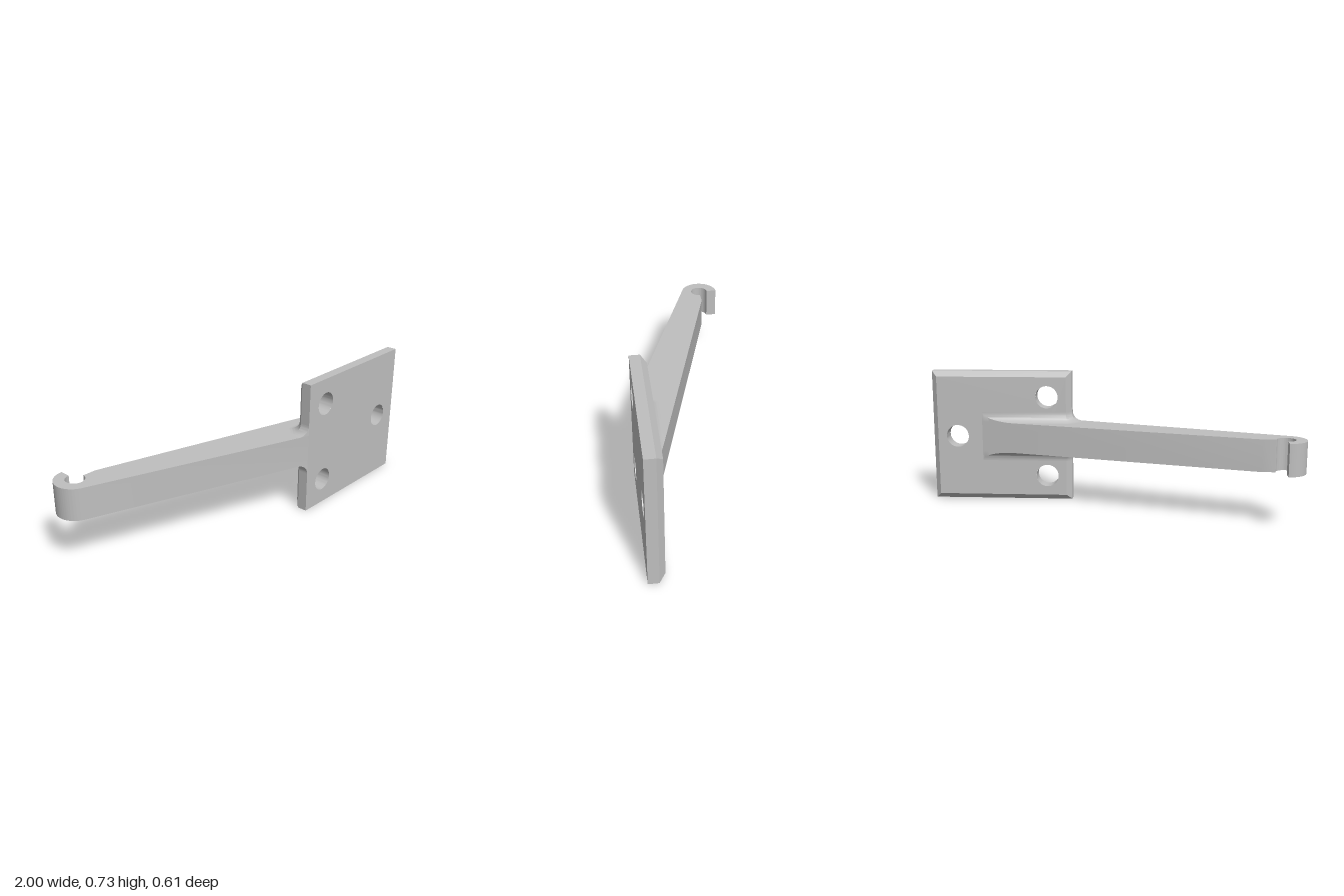
import * as THREE from 'three';
import { toCreasedNormals } from 'three/addons/utils/BufferGeometryUtils.js';

const MID = 0.3635;                        // height of the plane of symmetry
const L = 0.22, R = 1, FRONT = 0.304, BACK = 0.22, CH = 0.03, HALF = MID; // plate
const ARM = 0.0835, BLEND = 0.054;         // arm half height, fillet radius
const HX = -0.897, HZ = -0.2, OUT = 0.103, IN = 0.048; // hook ring
const TIP = 0.72, BACK_SLOPE = 0.28;       // where the arm's back meets the plate
const HOLES = [[0.357, 0.2225], [0.357, -0.2225], [0.86, 0]], HOLE_R = 0.062;

// Surface through rows of points
function grid(rows) {
  const pos = [];
  for (let i = 0; i < rows.length - 1; i++) {
    for (let j = 0; j < rows[i].length - 1; j++) {
      const a = rows[i][j], b = rows[i][j + 1], c = rows[i + 1][j + 1], d = rows[i + 1][j];
      pos.push(...a, ...b, ...c, ...a, ...c, ...d);
    }
  }
  const g = new THREE.BufferGeometry();
  g.setAttribute('position', new THREE.Float32BufferAttribute(pos, 3));
  return g;
}

// Closed rectangle of the plate outline, inset by i
function rectangle(i) {
  return [[L + i, i - HALF], [R - i, i - HALF], [R - i, HALF - i], [L + i, HALF - i], [L + i, i - HALF]];
}

function plateFace(inset) {
  const shape = new THREE.Shape(rectangle(inset).slice(0, 4).map(p => new THREE.Vector2(...p)));
  for (const [x, y] of HOLES) {
    shape.holes.push(new THREE.Path().absarc(x, y, HOLE_R, 0, Math.PI * 2, true));
  }
  return new THREE.ShapeGeometry(shape, 48);
}

function holeWall([x, y]) {
  const ring = z => Array.from({ length: 49 }, (_, i) => {
    const a = i / 48 * Math.PI * 2;
    return [x + HOLE_R * Math.cos(a), y + HOLE_R * Math.sin(a), z];
  });
  return grid([ring(FRONT), ring(BACK)]);
}

// Arm outline seen from above, with the open hook at its end
const toCorner = Math.hypot(L - HX, FRONT - HZ);
const armAngle = Math.atan2(FRONT - HZ, L - HX) - Math.asin(OUT / toCorner);

function armGeometry() {
  const s = new THREE.Shape();
  s.absarc(HX, HZ, OUT, Math.PI / 2 + armAngle, Math.PI * 1.5, false);
  s.lineTo(HX, HZ - IN);
  s.absarc(HX, HZ, IN, Math.PI * 1.5, 0, true);
  s.lineTo(TIP - (BACK - HZ) / BACK_SLOPE, HZ);
  s.lineTo(TIP, BACK);
  s.lineTo(TIP, BACK + 0.03);
  s.lineTo(L, FRONT);
  s.closePath();
  const g = new THREE.ExtrudeGeometry(s, { depth: ARM * 2, bevelEnabled: false, curveSegments: 40 });
  return g.rotateX(Math.PI / 2).translate(0, ARM, 0);
}

// Concave blend following the plate's edge, chamfer and back, closed at both ends
function filletGeometry(side) {
  const rows = [], bend = Math.tan(Math.PI / 8), steps = 14;
  for (let i = 0; i <= steps; i++) {
    const t = i / steps * Math.PI / 2;
    const d = BLEND * (1 - Math.sin(t));
    const base = side * ARM, y = side * (ARM + BLEND * (1 - Math.cos(t)));
    const za = FRONT - d * Math.tan(armAngle), xd = TIP - d / BACK_SLOPE;
    const row = [
      [L - d, base, za], [L - d, y, za],
      [L - d, y, BACK + CH - d * bend],
      [L + CH - d * bend, y, BACK - d],
      [xd, y, BACK - d], [xd, base, BACK - d],
    ];
    rows.push(side > 0 ? row.reverse() : row);
  }
  return grid(rows);
}

export function createModel() {
  const group = new THREE.Group();
  const metal = new THREE.MeshStandardMaterial({ color: 0xbfbfbf });
  metal.name = 'grey metal';

  const add = (name, geometry) => {
    const mesh = new THREE.Mesh(toCreasedNormals(geometry, 0.6), metal);
    mesh.name = name;
    mesh.position.y = MID;
    group.add(mesh);
  };

  // Mounting plate with a chamfered back and three screw holes
  add('plateFront', plateFace(0).translate(0, 0, FRONT));
  add('plateBack', plateFace(CH).rotateX(Math.PI).translate(0, 0, BACK));
  add('plateRim', grid([[CH, BACK], [0, BACK + CH], [0, FRONT]]
    .map(([i, z]) => rectangle(i).map(([x, y]) => [x, y, z]))));
  HOLES.forEach((h, i) => add('screwHole' + (i + 1), holeWall(h)));

  // Tapered arm with hook, blended into the plate above and below
  add('hookArm', armGeometry());
  add('upperFillet', filletGeometry(1));
  add('lowerFillet', filletGeometry(-1));
  return group;
}
